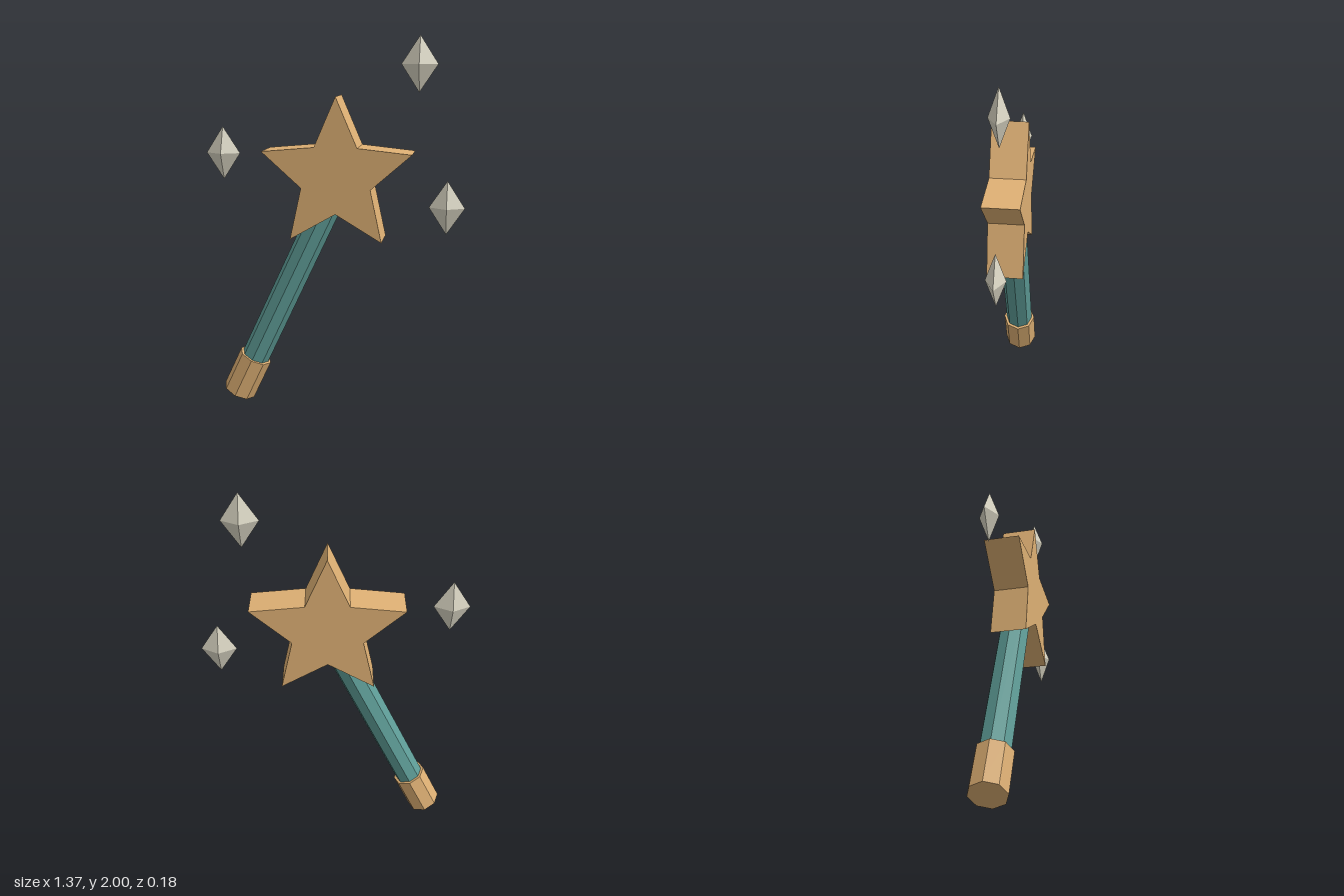
import * as THREE from 'three';

function makeMaterial(name, color) {
  const material = new THREE.MeshStandardMaterial({ color });
  material.name = name;
  return material;
}

// Gives every face its own flat normals
function faceted(geometry) {
  const flat = geometry.index ? geometry.toNonIndexed() : geometry;
  flat.computeVertexNormals();
  return flat;
}

export function createModel() {
  const gold = makeMaterial('gold', 0xdeb074);
  const teal = makeMaterial('teal', 0x5f9e98);
  const silver = makeMaterial('silver', 0xd6d2c0);

  const model = new THREE.Group();
  model.name = 'starWand';
  function add(parent, name, geometry, material, x, y, z = 0) {
    const mesh = new THREE.Mesh(faceted(geometry), material);
    mesh.name = name;
    mesh.position.set(x, y, z);
    parent.add(mesh);
    return mesh;
  }

  // Leaning handle: local origin at the bottom of the grip
  const handle = new THREE.Group();
  handle.name = 'handle';
  handle.position.set(-0.543, 0.042, 0);
  handle.rotation.z = -THREE.MathUtils.degToRad(25);
  model.add(handle);

  const gripLength = 0.237;
  add(handle, 'grip', new THREE.CylinderGeometry(0.092, 0.092, gripLength, 8), gold, 0, gripLength / 2);

  const rodStart = 0.2, rodEnd = 1.19;
  add(handle, 'rod', new THREE.CylinderGeometry(0.077, 0.077, rodEnd - rodStart, 8), teal, 0, (rodStart + rodEnd) / 2);

  // Five-pointed star head
  const starPoints = [];
  for (let i = 0; i < 10; i++) {
    const radius = i % 2 ? 0.19 : 0.41;
    const angle = Math.PI / 2 + (i * Math.PI) / 5;
    starPoints.push(new THREE.Vector2(radius * Math.cos(angle), radius * Math.sin(angle)));
  }
  const starDepth = 0.184;
  const starGeometry = new THREE.ExtrudeGeometry(new THREE.Shape(starPoints), { depth: starDepth, bevelEnabled: false });
  add(model, 'star', starGeometry, gold, 0.025, 1.29, -starDepth / 2);

  // Floating diamond sparkles
  const sparkles = [[0.435, 1.86], [-0.597, 1.393], [0.59, 1.137]];
  sparkles.forEach(([x, y], i) => {
    const diamond = new THREE.OctahedronGeometry(1).scale(0.092, 0.14, 0.05);
    add(model, `sparkle${i + 1}`, diamond, silver, x, y);
  });

  return model;
}
